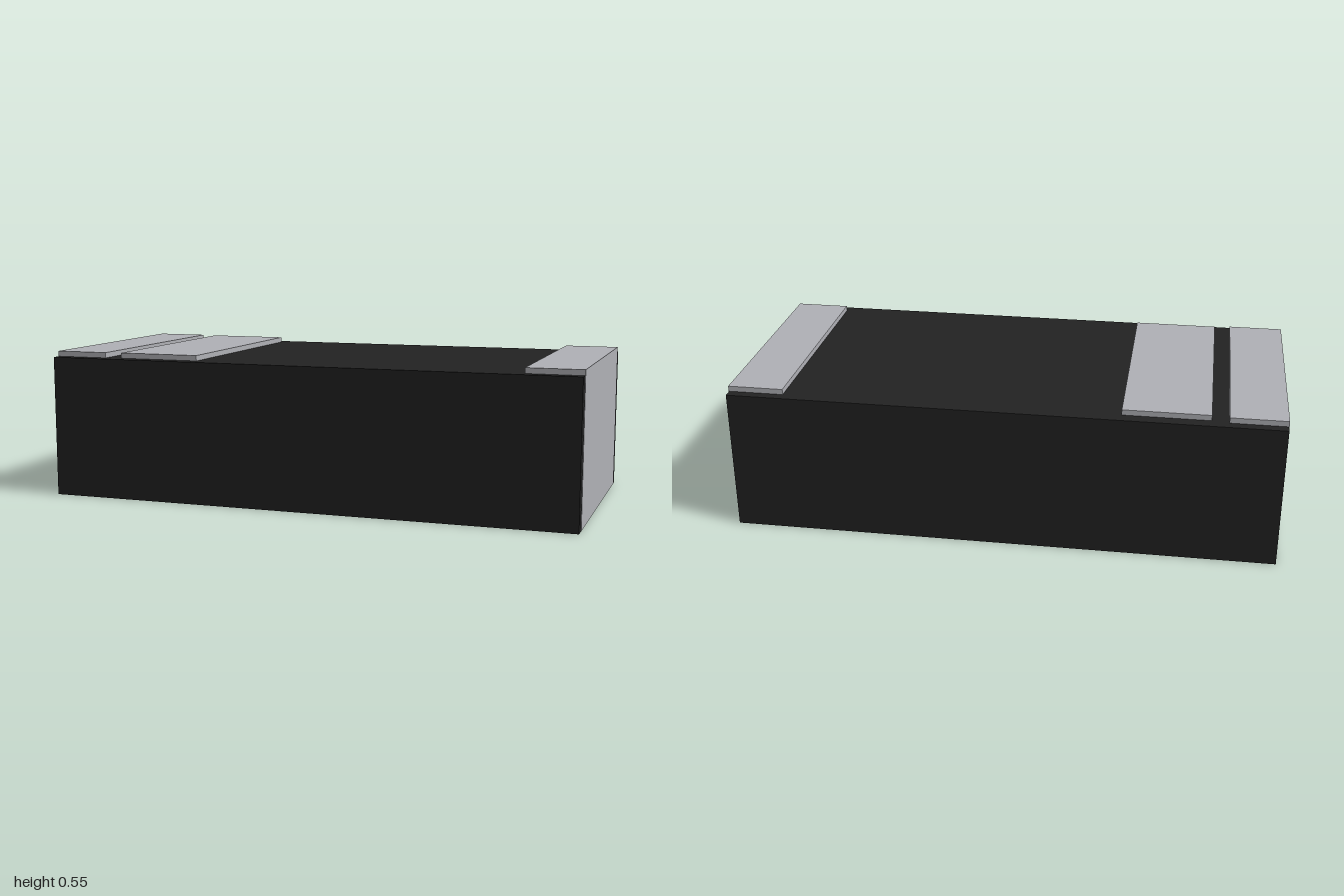
import * as THREE from 'three';

export function createModel() {
  const model = new THREE.Group();
  const blackResin = new THREE.MeshStandardMaterial({ color: 0x222222 });
  blackResin.name = 'black resin';
  const tinnedMetal = new THREE.MeshStandardMaterial({ color: 0xb0b1b6 });
  tinnedMetal.name = 'tinned metal';

  // Box given by its lower and upper corners
  const block = (name, material, [x0, y0, z0], [x1, y1, z1]) => {
    const mesh = new THREE.Mesh(new THREE.BoxGeometry(x1 - x0, y1 - y0, z1 - z0), material);
    mesh.position.set((x0 + x1) / 2, (y0 + y1) / 2, (z0 + z1) / 2);
    mesh.name = name;
    model.add(mesh);
  };

  // Moulded body, a hair short of the terminals' end faces
  block('body', blackResin, [-0.998, 0, -0.467], [0.998, 0.53, 0.467]);

  // End terminals, standing slightly proud of the top
  block('rightTerminal', tinnedMetal, [-1, 0.002, -0.432], [-0.797, 0.55, 0.43]);
  block('leftTerminal', tinnedMetal, [0.797, 0.002, -0.432], [1, 0.55, 0.43]);

  // Raised polarity band on the top
  block('polarityBand', tinnedMetal, [-0.737, 0.52, -0.422], [-0.425, 0.55, 0.42]);

  return model;
}
